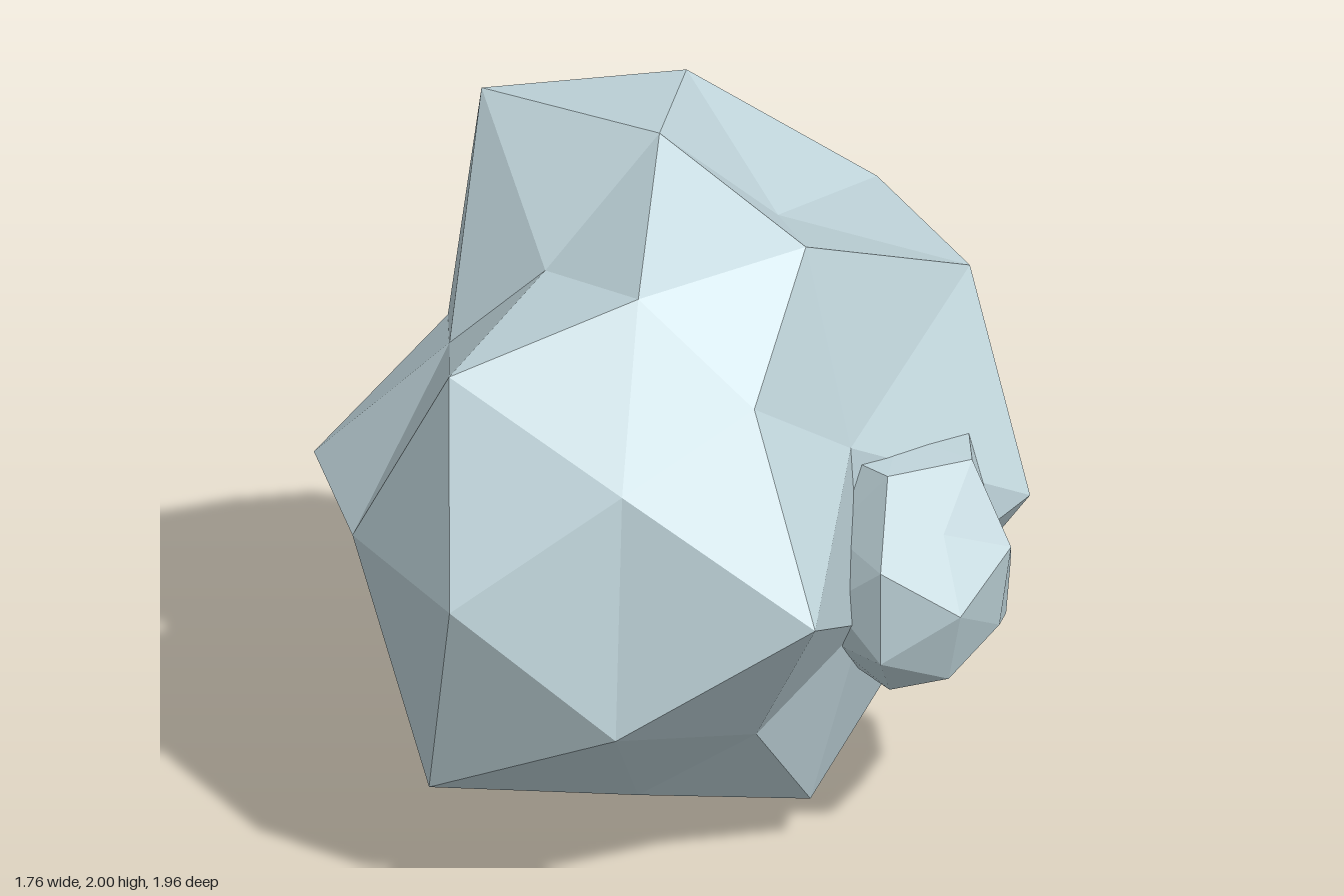
import * as THREE from 'three';

const material = new THREE.MeshStandardMaterial({ color: 0xbfd4da, flatShading: true });

// Faceted boulder: a once-divided icosahedron whose points are pushed in or out.
// Radii are grouped by point family (key = doubled, rounded |x||y||z|); inside a
// family they run through the signs of the non-zero axes, + first, z fastest.
function makeRock(name, centre, stretchY, radii) {
  const geometry = new THREE.IcosahedronGeometry(1, 1);
  const position = geometry.attributes.position;
  const p = new THREE.Vector3();
  for (let i = 0; i < position.count; i++) {
    p.fromBufferAttribute(position, i);
    let key = '', index = 0;
    for (const c of p.toArray()) {
      const size = Math.round(Math.abs(c) * 2);
      key += size;
      if (size) index = index * 2 + (c < 0 ? 1 : 0);
    }
    p.multiplyScalar(radii[key][index]);
    position.setXYZ(i, p.x, p.y * stretchY, p.z);
  }
  geometry.computeVertexNormals();
  const mesh = new THREE.Mesh(geometry, material);
  mesh.name = name;
  mesh.position.set(...centre);
  return mesh;
}

export function createModel() {
  const group = new THREE.Group();
  group.name = 'rock';

  // Large main boulder
  group.add(makeRock('mainBoulder', [0.015, 0.98, -0.04], 1.25, {
    '200': [0.865, 0.9],
    '020': [0.816, 0.664],
    '002': [1.02, 0.94],
    '012': [0.73, 0.92, 0.745, 0.895],
    '120': [0.66, 0.79, 0.637, 0.68],
    '201': [1.0, 0.855, 1.0, 0.933],
    '112': [0.65, 0.755, 0.69, 0.7, 0.795, 0.72, 0.93, 0.72],
    '121': [0.805, 0.925, 0.83, 0.9, 0.73, 0.98, 0.74, 0.967],
    '211': [0.96, 0.95, 0.79, 1.007, 0.92, 0.65, 1.007, 0.79],
  }));

  // Small stone lodged in the front left side
  group.add(makeRock('smallStone', [0.53, 0.82, 0.38], 1.1, {
    '200': [0.28, 0.28],
    '020': [0.33, 0.28],
    '002': [0.4, 0.3],
    '012': [0.34, 0.3, 0.38, 0.3],
    '120': [0.38, 0.3, 0.38, 0.3],
    '201': [0.3, 0.36, 0.33, 0.28],
    '112': [0.38, 0.3, 0.34, 0.32, 0.4, 0.3, 0.4, 0.3],
    '121': [0.4, 0.3, 0.3, 0.33, 0.4, 0.3, 0.34, 0.3],
    '211': [0.28, 0.33, 0.33, 0.4, 0.3, 0.28, 0.3, 0.28],
  }));

  return group;
}
